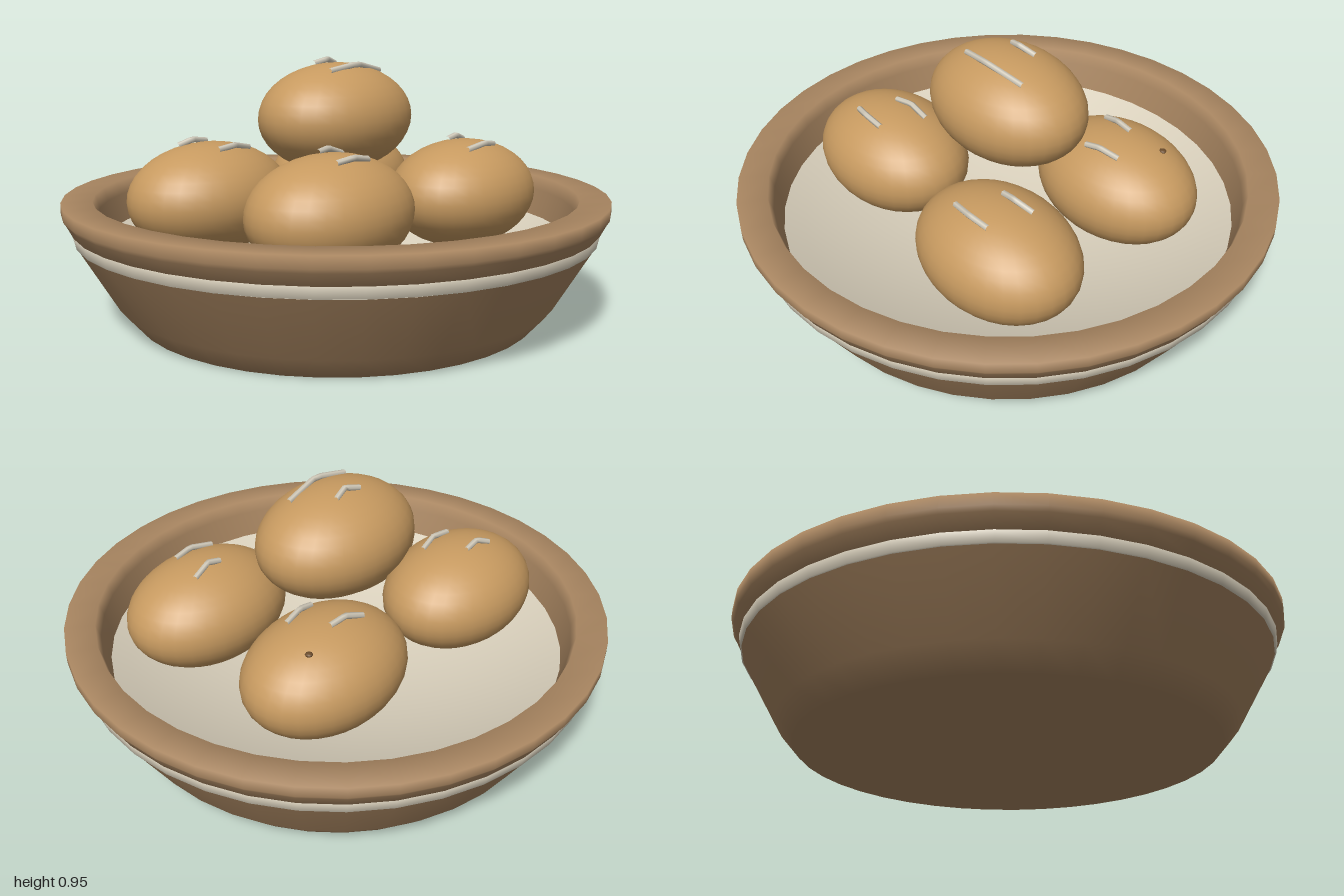
import * as THREE from 'three';

const mat = (name, color) => Object.assign(new THREE.MeshStandardMaterial({ color }), { name });

export function createModel() {
  const clay = mat('clay brown', 0xa98661);
  const cream = mat('cream glaze', 0xd8cfbb);
  const skin = mat('potato skin', 0xc79a60);
  const sproutMat = mat('pale sprout', 0xd2cbbb);
  const pitMat = mat('dark eye', 0x6b4c2c);

  const model = new THREE.Group();
  model.name = 'bowlOfPotatoes';
  const add = (parent, name, geometry, material) => {
    const m = new THREE.Mesh(geometry, material);
    m.name = name;
    parent.add(m);
    return m;
  };
  const lathe = (name, profile, material) =>
    add(model, name, new THREE.LatheGeometry(profile.map(p => new THREE.Vector2(...p)), 40), material);

  // Bowl, from the base up the outside, over the rim and down to the glazed floor
  lathe('bowlBody', [[0, 0], [0.75, 0], [0.82, 0.08], [0.955, 0.31]], clay);
  lathe('glazeBand', [[0.95, 0.31], [0.96, 0.312], [0.968, 0.348], [0.955, 0.352]], cream);
  lathe('bowlRim', [[0.955, 0.35], [0.968, 0.352], [0.99, 0.395], [1, 0.41], [1, 0.45],
    [0.89, 0.45], [0.875, 0.4], [0.85, 0.3]], clay);
  const floor = [];
  for (let i = 0; i <= 12; i++) {
    const r = 0.85 * (1 - i / 12);
    floor.push([r, 0.08 + 0.22 * (r / 0.85) ** 2]);
  }
  lathe('bowlFloor', floor, cream);

  // Potatoes: centre, then sprouts as three x, z points in the model's frame
  const RX = 0.327, RY = 0.2, RZ = 0.25;
  const potatoes = [
    { at: [0, 0.73, 0], sprouts: [[-0.13, 0.08, 0, 0.1, 0.16, 0.075], [-0.05, -0.065, 0.01, -0.05, 0.07, -0.065]] },
    { at: [-0.38, 0.45, -0.28], sprouts: [[-0.47, -0.345, -0.42, -0.325, -0.35, -0.33], [-0.43, -0.18, -0.35, -0.175, -0.27, -0.19]] },
    { at: [0.323, 0.44, -0.25], sprouts: [[0.2, -0.31, 0.27, -0.295, 0.34, -0.29], [0.27, -0.135, 0.33, -0.14, 0.41, -0.155]], pit: [0.47, -0.32] },
    { at: [-0.35, 0.455, 0.27], sprouts: [[-0.37, 0.23, -0.3, 0.215, -0.22, 0.21], [-0.43, 0.36, -0.36, 0.375, -0.28, 0.37]] },
    { at: [0.34, 0.44, 0.34], sprouts: [[0.31, 0.29, 0.36, 0.295, 0.44, 0.275], [0.23, 0.43, 0.32, 0.445, 0.4, 0.435]] },
  ];

  const body = new THREE.SphereGeometry(1, 32, 20);
  body.scale(RX, RY, RZ);

  potatoes.forEach(({ at, sprouts, pit }) => {
    const potato = new THREE.Group();
    potato.name = 'potato';
    potato.position.set(...at);
    model.add(potato);
    add(potato, 'potatoBody', body, skin);

    // Point standing a little above the skin at the given x, z
    const onSkin = (x, z, lift) => {
      const dx = x - at[0], dz = z - at[2];
      return new THREE.Vector3(dx, RY * Math.sqrt(1 - (dx / RX) ** 2 - (dz / RZ) ** 2) + lift, dz);
    };

    // Bent sprouts, two straight pieces each
    sprouts.forEach(s => {
      const pts = [onSkin(s[0], s[1], 0.004), onSkin(s[2], s[3], 0.014), onSkin(s[4], s[5], 0.004)];
      const path = new THREE.CurvePath();
      path.add(new THREE.LineCurve3(pts[0], pts[1]));
      path.add(new THREE.LineCurve3(pts[1], pts[2]));
      add(potato, 'sprout', new THREE.TubeGeometry(path, 8, 0.011, 6), sproutMat);
    });

    // Small dark eye
    if (pit) {
      const eye = add(potato, 'eye', new THREE.SphereGeometry(0.014, 8, 6), pitMat);
      eye.position.copy(onSkin(pit[0], pit[1], 0));
      eye.scale.y = 0.5;
    }
  });
  return model;
}
